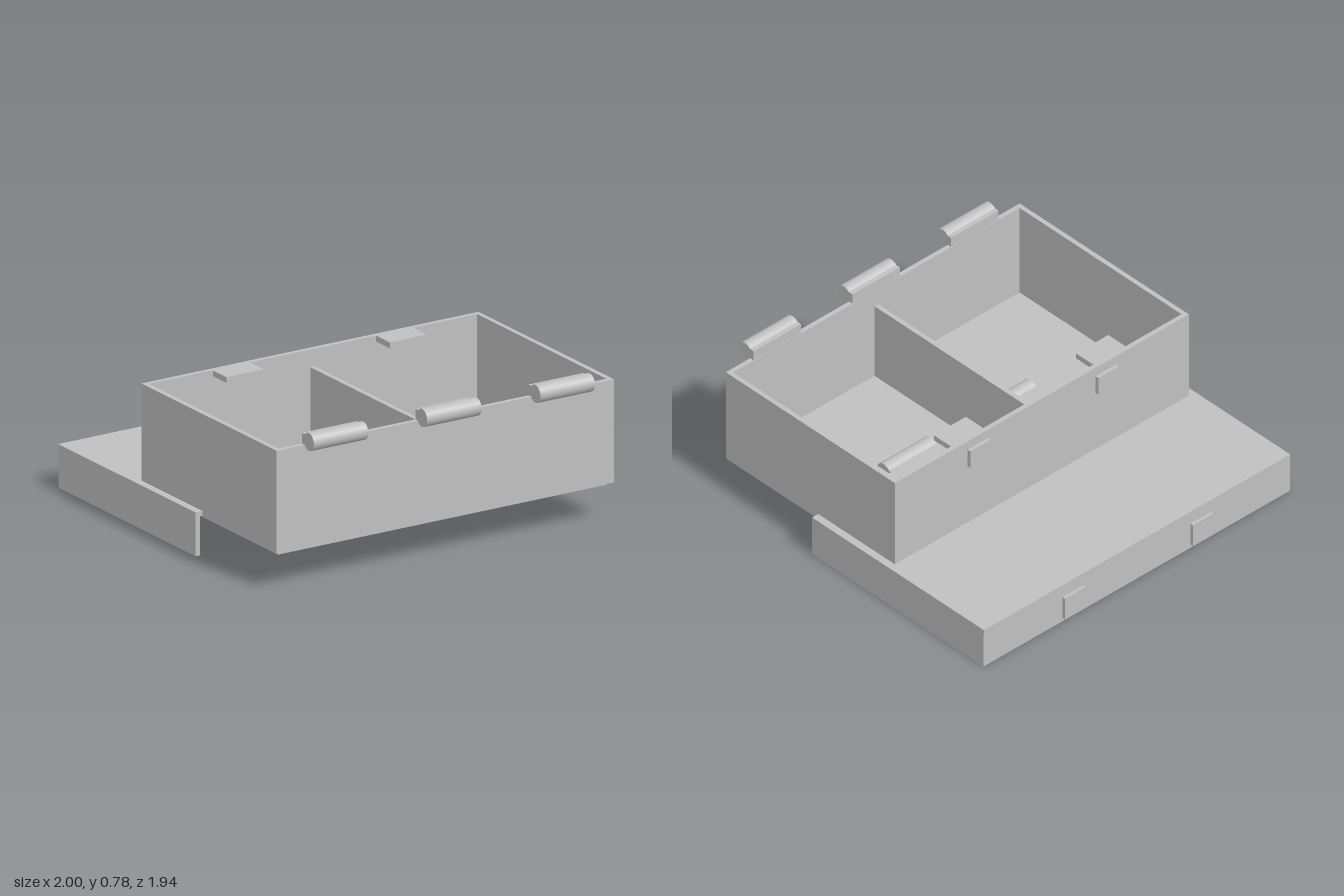
import * as THREE from 'three';

export function createModel() {
  const model = new THREE.Group();
  const grey = new THREE.MeshStandardMaterial({ color: 0xc0c0c0 });
  grey.name = 'plain grey';

  // Box given by its limits on each axis
  function block(name, x0, x1, y0, y1, z0, z1, parent = model) {
    const mesh = new THREE.Mesh(new THREE.BoxGeometry(x1 - x0, y1 - y0, z1 - z0), grey);
    mesh.position.set((x0 + x1) / 2, (y0 + y1) / 2, (z0 + z1) / 2);
    mesh.name = name;
    parent.add(mesh);
  }

  // Hinge: round barrel along x with a flat leaf behind it
  function hinge(name, x, y, z, leafLow, leafHigh, leafBack) {
    const group = new THREE.Group();
    group.name = name;
    const barrel = new THREE.Mesh(new THREE.CylinderGeometry(0.045, 0.045, 0.31, 32), grey);
    barrel.rotation.z = Math.PI / 2;
    barrel.position.set(x, y, z);
    barrel.name = 'hingeBarrel';
    group.add(barrel);
    block('hingeLeaf', x - 0.155, x + 0.155, leafLow, leafHigh, leafBack, z, group);
    model.add(group);
  }

  // Tray walls: a rectangular ring extruded upwards
  const W = 0.96, T = 0.025, back = -0.29, front = 0.89;
  const ring = new THREE.Shape([
    new THREE.Vector2(-W, -front), new THREE.Vector2(W, -front),
    new THREE.Vector2(W, -back), new THREE.Vector2(-W, -back),
  ]);
  ring.holes.push(new THREE.Path([
    new THREE.Vector2(-W + T, -front + T), new THREE.Vector2(-W + T, -back - T),
    new THREE.Vector2(W - T, -back - T), new THREE.Vector2(W - T, -front + T),
  ]));
  const wallGeometry = new THREE.ExtrudeGeometry(ring, { depth: 0.52, bevelEnabled: false });
  wallGeometry.rotateX(-Math.PI / 2);
  const walls = new THREE.Mesh(wallGeometry, grey);
  walls.position.y = 0.19;
  walls.name = 'trayWalls';
  model.add(walls);

  // Tray floor, stepped below the walls, and the divider
  block('trayFloor', -W + T, W - T, 0.175, 0.2, back + T, front - T);
  block('trayDivider', -0.0125, 0.0125, 0.2, 0.62, back + T, front - T);

  // Lower case: top plate, side walls and back wall, open at the front
  block('caseTop', -1, 1, 0.197, 0.22, -0.955, 0.245);
  block('caseBackWall', -0.975, 0.975, 0, 0.197, -0.953, -0.93);
  for (const s of [-1, 1]) {
    block('caseSideWall', s < 0 ? -1 : 0.975, s < 0 ? -0.975 : 1, 0, 0.197, -0.953, 0.245);

    // Catches: plates inside the tray rim and pads on both back walls
    const span = (a, b) => (s < 0 ? [-b, -a] : [a, b]);
    block('catchPlate', ...span(0.36, 0.57), 0.68, 0.71, back + T, -0.145);
    block('trayCatchPad', ...span(0.35, 0.485), 0.56, 0.66, -0.31, back);
    block('caseCatchPad', ...span(0.35, 0.485), 0.02, 0.145, -0.97, -0.953);

    hinge('lowerHinge', s * 0.325, 0.19, 0.3, 0.155, 0.215, 0.245);
  }

  // Hinges along the front rim of the tray
  for (const x of [-0.645, 0, 0.645]) hinge('rimHinge', x, 0.735, 0.925, 0.71, 0.765, 0.867);

  return model;
}
